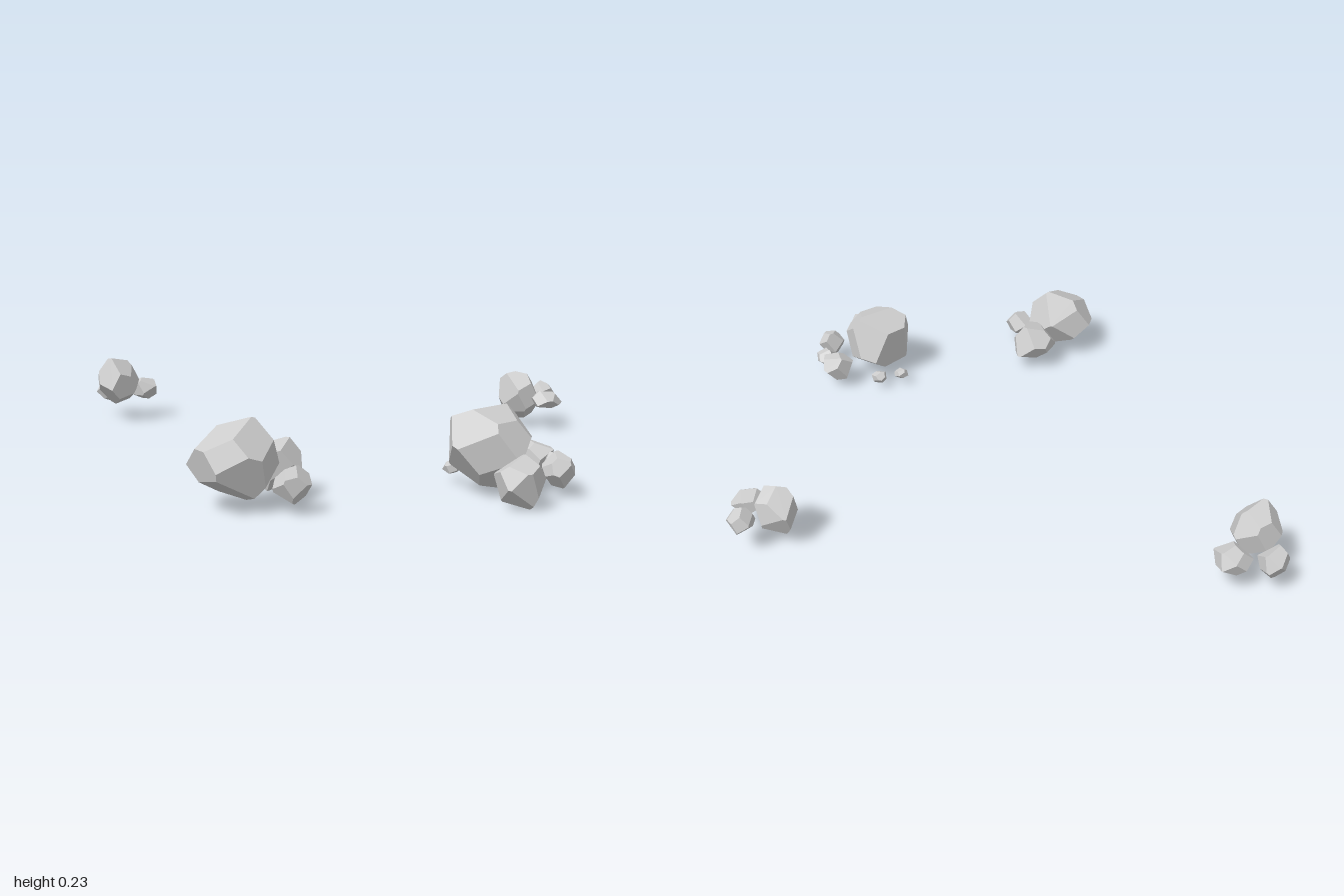
import * as THREE from 'three';
import { ConvexGeometry } from 'three/addons/geometries/ConvexGeometry.js';

const material = new THREE.MeshStandardMaterial({ color: 0xcccccc, flatShading: true });

// Small seeded generator, values 0..1
function seeded(seed) {
  let s = seed * 7919 + 17;
  return () => {
    s = (s * 16807) % 2147483647;
    return s / 2147483647;
  };
}

// A faceted stone: a solid cut by jittered planes, fitted to the box [x0,x1, y0,y1, z0,z1]
function makeRock([x0, x1, y0, y1, z0, z1], seed, facets) {
  const rand = seeded(seed);
  for (let i = 0; i < 10; i++) rand();
  const turn = rand() * Math.PI * 2;
  const planes = [];
  for (let i = 0; i < facets; i++) {
    const y = 1 - 2 * (i + 0.5) / facets;
    const r = Math.sqrt(1 - y * y);
    const a = turn + i * 2.39996;
    const n = new THREE.Vector3(Math.cos(a) * r, y, Math.sin(a) * r);
    n.add(new THREE.Vector3(rand() - 0.5, rand() - 0.5, rand() - 0.5).multiplyScalar(0.4)).normalize();
    planes.push({ n, d: 0.9 + 0.12 * rand() });
  }
  // Corners are the points where three planes meet inside all the others
  const corners = [];
  for (let i = 0; i < facets; i++)
    for (let j = i + 1; j < facets; j++)
      for (let k = j + 1; k < facets; k++) {
        const [a, b, c] = [planes[i], planes[j], planes[k]];
        const bc = b.n.clone().cross(c.n);
        const det = a.n.dot(bc);
        if (Math.abs(det) < 1e-3) continue;
        const p = bc.multiplyScalar(a.d)
          .addScaledVector(c.n.clone().cross(a.n), b.d)
          .addScaledVector(a.n.clone().cross(b.n), c.d)
          .divideScalar(det);
        if (planes.every(q => q.n.dot(p) <= q.d + 1e-6)) corners.push(p);
      }
  const box = new THREE.Box3().setFromPoints(corners);
  const size = box.getSize(new THREE.Vector3());
  for (const p of corners) {
    p.sub(box.min).divide(size);
    p.set(x0 + p.x * (x1 - x0), y0 + p.y * (y1 - y0), z0 + p.z * (z1 - z0));
  }
  return new THREE.Mesh(new ConvexGeometry(corners), material);
}

// Each cluster lists its boulder first, then the stones around it
const clusters = {
  rightRocks: [
    [-0.85, -0.62, 0.025, 0.235, 0.37, 0.6],
    [-0.65, -0.5, 0.025, 0.157, 0.37, 0.525],
    [-0.7, -0.6, 0.025, 0.12, 0.565, 0.66],
  ],
  frontRocks: [
    [-0.23, 0.01, 0.012, 0.235, 0.665, 0.905],
    [-0.235, -0.11, 0, 0.137, 0.89, 1],
    [-0.04, 0.05, 0.025, 0.12, 0.88, 0.97],
    [0.025, 0.135, 0.025, 0.12, 0.715, 0.825],
    [0.03, 0.105, 0.03, 0.1, 0.82, 0.9],
    [-0.125, -0.08, 0.025, 0.06, 0.605, 0.65],
    [-0.055, 0, 0.02, 0.065, 0.625, 0.68],
  ],
  leftRocks: [
    [0.64, 0.765, 0.025, 0.19, 0.04, 0.2],
    [0.765, 0.85, 0.065, 0.15, 0.095, 0.18],
    [0.68, 0.79, 0.065, 0.13, 0.165, 0.275],
  ],
  backRocks: [
    [-0.41, -0.255, 0.055, 0.225, -0.93, -0.79],
    [-0.27, -0.165, 0.06, 0.14, -0.93, -0.82],
    [-0.36, -0.26, 0.05, 0.145, -1, -0.915],
  ],
};

export function createModel() {
  const model = new THREE.Group();
  model.name = 'scatteredRocks';
  let seed = 1;
  for (const [name, boxes] of Object.entries(clusters)) {
    const group = new THREE.Group();
    group.name = name;
    boxes.forEach((box, i) => {
      const rock = makeRock(box, seed++, i === 0 ? 15 : 13);
      rock.name = i === 0 ? 'boulder' : 'stone' + i;
      group.add(rock);
    });
    model.add(group);
  }
  return model;
}
